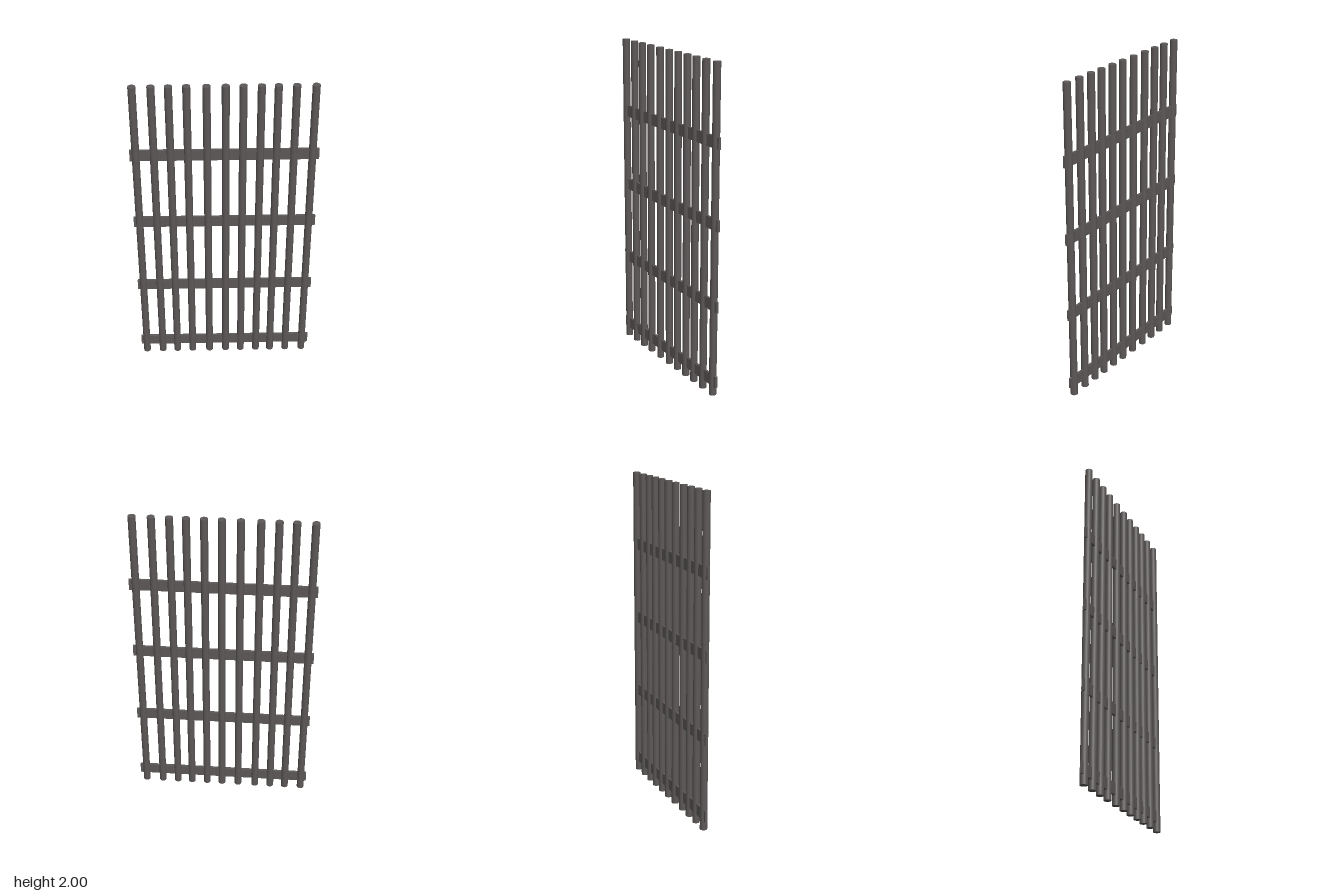
import * as THREE from 'three';

export function createModel() {
  const group = new THREE.Group();
  const iron = new THREE.MeshStandardMaterial({ color: 0x5c5857 });

  // Upright round bars, slightly unevenly spaced
  const barX = [-0.515, -0.41, -0.313, -0.212, -0.1, 0.007, 0.106, 0.207, 0.301, 0.403, 0.511];
  const barGeometry = new THREE.CylinderGeometry(0.0225, 0.0225, 2, 20);
  barX.forEach((x, i) => {
    const bar = new THREE.Mesh(barGeometry, iron);
    bar.name = `verticalBar${i + 1}`;
    bar.position.set(x, 1, 0);
    group.add(bar);
  });

  // Flat cross rails running through the bars
  const railY = [0.092, 0.57, 1.067, 1.547];
  const railGeometry = new THREE.BoxGeometry(1.1, 0.07, 0.016);
  railY.forEach((y, i) => {
    const rail = new THREE.Mesh(railGeometry, iron);
    rail.name = `crossRail${i + 1}`;
    rail.position.set(0, y, 0);
    group.add(rail);
  });

  return group;
}
